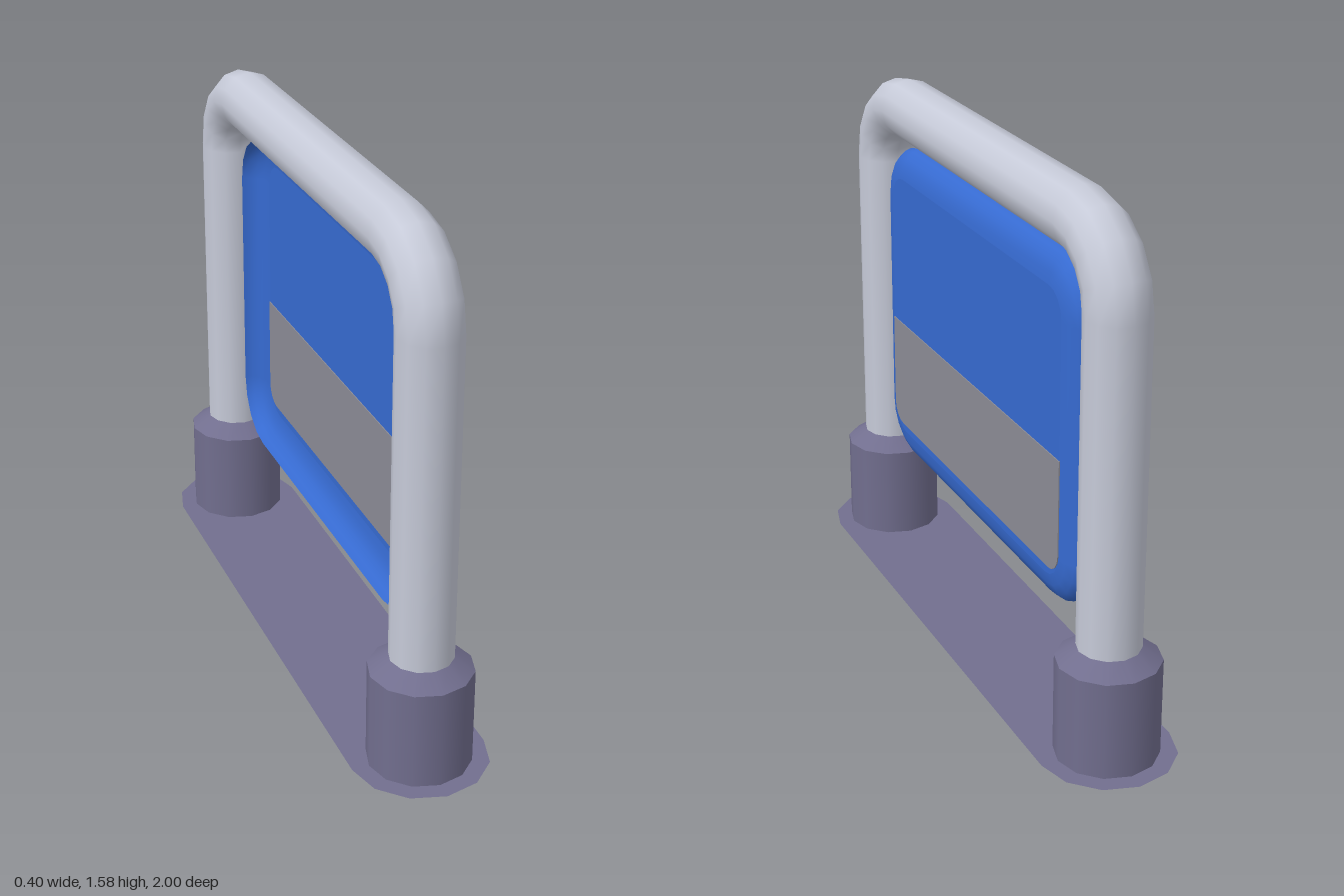
import * as THREE from 'three';

const mat = (name, color, double) => {
  const m = new THREE.MeshStandardMaterial({ color });
  m.name = name;
  if (double) m.side = THREE.DoubleSide;
  return m;
};

// Rounded rectangle outline, counter-clockwise, with separate top and bottom corner radii
function roundedRect(halfW, y0, y1, rTop, rBottom, seg = 4) {
  const corners = [[1, 1, 0], [-1, 1, 1], [-1, -1, 2], [1, -1, 3]];
  const pts = [];
  for (const [sx, sy, quarter] of corners) {
    const r = sy > 0 ? rTop : rBottom;
    const cx = sx * (halfW - r), cy = sy > 0 ? y1 - r : y0 + r;
    const n = r > 0.001 ? seg : 0;
    for (let i = 0; i <= n; i++) {
      const a = (quarter + (n ? i / n : 0.5)) * Math.PI / 2;
      pts.push(new THREE.Vector2(cx + r * Math.cos(a), cy + r * Math.sin(a)));
    }
  }
  return pts;
}

const INSET = 0.09, DEPTH = 0.06;
const panelOutline = (inset) =>
  roundedRect(0.69 - inset, 0.345 + inset, 1.38 - inset, 0.17 - inset, 0.17 - inset);

// Curved rim running from the open back edge to the flat face
function rimGeometry(steps = 4) {
  const pos = [], index = [];
  let n = 0;
  for (let k = 0; k <= steps; k++) {
    const t = (k / steps) * Math.PI / 2;
    const ring = panelOutline(INSET * (1 - Math.cos(t)));
    n = ring.length;
    for (const p of ring) pos.push(p.x, p.y, DEPTH * Math.sin(t));
  }
  for (let k = 0; k < steps; k++) {
    for (let i = 0; i < n; i++) {
      const a = k * n + i, b = k * n + (i + 1) % n;
      index.push(a, b, b + n, a, b + n, a + n);
    }
  }
  const g = new THREE.BufferGeometry();
  g.setAttribute('position', new THREE.Float32BufferAttribute(pos, 3));
  g.setIndex(index);
  g.computeVertexNormals();
  return g;
}

// Bent pipe: straight legs, two rounded corners, straight top
function pipeGeometry() {
  const half = [], tan = [], seg = 4, r = 0.2;
  half.push(new THREE.Vector3(0, 0.3, 0.8));
  tan.push(new THREE.Vector3(0, 1, 0));
  for (let i = 0; i <= seg; i++) {
    const a = (i / seg) * Math.PI / 2;
    half.push(new THREE.Vector3(0, 1.29 + r * Math.sin(a), 0.6 + r * Math.cos(a)));
    tan.push(new THREE.Vector3(0, Math.cos(a), -Math.sin(a)));
  }
  const pts = [...half, ...half.slice().reverse().map(p => new THREE.Vector3(0, p.y, -p.z))];
  const tans = [...tan, ...tan.slice().reverse().map(t => new THREE.Vector3(0, -t.y, t.z))];
  const n = pts.length - 1;
  const path = new THREE.Curve();
  path.getPointAt = (u, out = new THREE.Vector3()) => out.copy(pts[Math.round(u * n)]);
  path.getTangentAt = (u, out = new THREE.Vector3()) => out.copy(tans[Math.round(u * n)]);
  return new THREE.TubeGeometry(path, n, 0.092, 12, false);
}

export function createModel() {
  const group = new THREE.Group();
  const metal = mat('pale metal', 0xc6cad8);
  const base = mat('slate base', 0x716e8e);
  const ground = mat('slate plate', 0x716e8e, true);
  const blue = mat('blue panel', 0x366ad0, true);
  const grey = mat('grey band', 0x8b8b95);

  const add = (name, geometry, material, x = 0, y = 0, z = 0) => {
    const m = new THREE.Mesh(geometry, material);
    m.name = name;
    m.position.set(x, y, z);
    group.add(m);
    return m;
  };

  // Flat floor plate with half-round ends
  const plate = [];
  for (const s of [0, 1]) {
    for (let i = 0; i <= 6; i++) {
      const a = (s + i / 6) * Math.PI;
      plate.push(new THREE.Vector2(0.2 * Math.cos(a), 0.2 * Math.sin(a) + (s ? -0.8 : 0.8)));
    }
  }
  add('floorPlate', new THREE.ShapeGeometry(new THREE.Shape(plate)).rotateX(-Math.PI / 2), ground);

  // Collars at the feet, with sloping shoulders
  for (const s of [1, -1]) {
    const side = s > 0 ? 'front' : 'back';
    add(side + 'Collar', new THREE.CylinderGeometry(0.15, 0.15, 0.293, 12, 1, true), base, 0, 0.1485, s * 0.8);
    add(side + 'Shoulder', new THREE.CylinderGeometry(0.09, 0.15, 0.04, 12), base, 0, 0.315, s * 0.8);
  }

  add('pipeFrame', pipeGeometry(), metal);

  // Sign panel: a shallow shell facing +x, open at the back
  add('panelRim', rimGeometry().rotateY(Math.PI / 2), blue);
  add('panelFace', new THREE.ShapeGeometry(new THREE.Shape(panelOutline(INSET)))
    .translate(0, 0, DEPTH).rotateY(Math.PI / 2), blue);

  // Grey band, visible on both sides of the face
  const band = new THREE.Shape(roundedRect(0.603, 0.46, 0.81, 0, 0.06));
  add('panelBand', new THREE.ExtrudeGeometry(band, { depth: 0.006, bevelEnabled: false })
    .translate(0, 0, DEPTH - 0.003).rotateY(Math.PI / 2), grey);

  return group;
}
